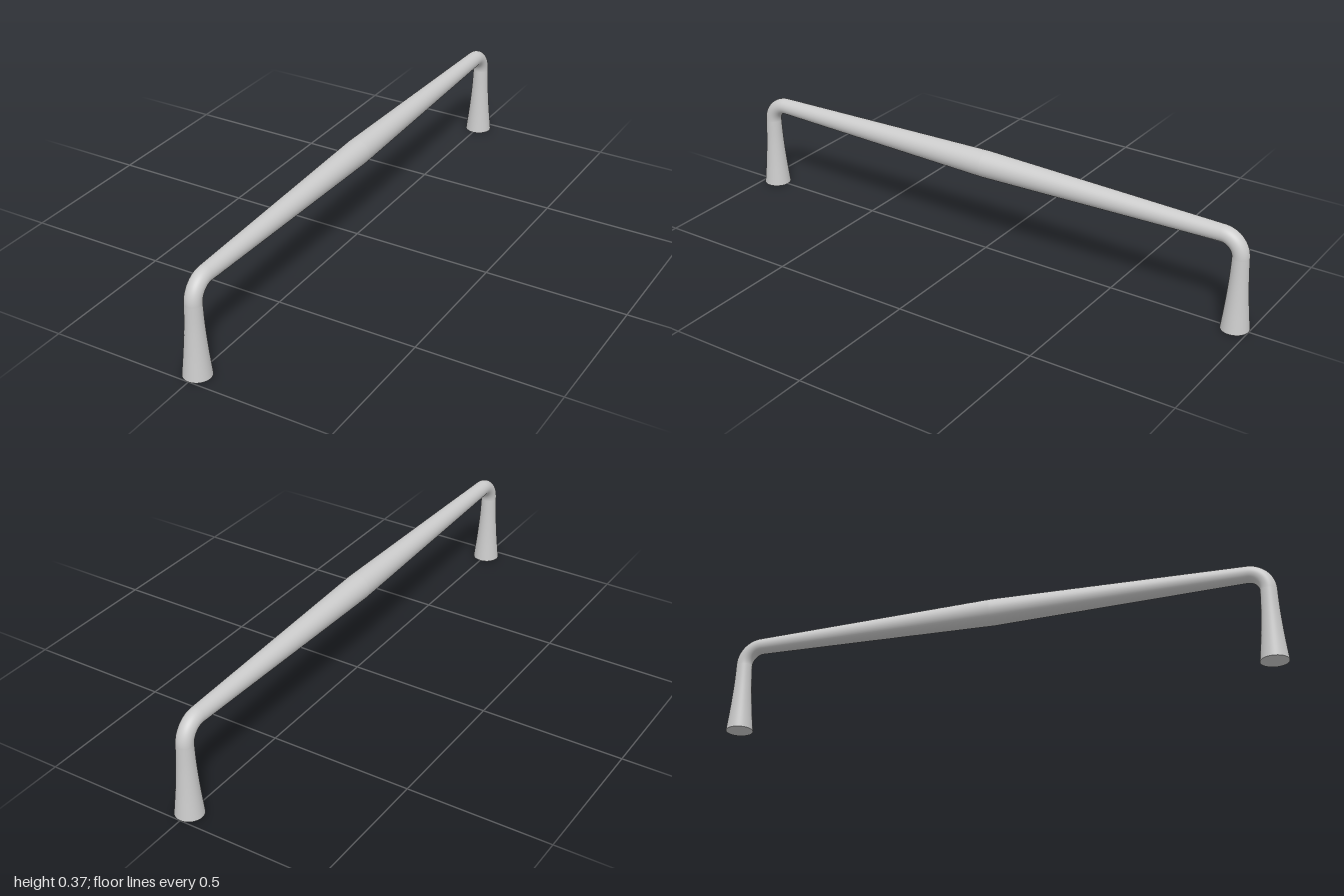
import * as THREE from 'three';

const SEGMENTS = 40;
const LEG_Z = 0.952;    // leg axis
const BAR_Y = 0.3225;   // bar axis
const BEND = 0.068;     // elbow centreline radius
const THIN = 0.0285;    // radius at the elbows
const THICK = 0.047;    // radius at the bar's middle
const FOOT = 0.048;     // radius at the feet

export function createModel() {
  const model = new THREE.Group();
  model.name = 'pullHandle';
  const material = new THREE.MeshStandardMaterial({ color: 0xcccccc });

  const legTop = BAR_Y - BEND;
  const barEnd = LEG_Z - BEND;

  // Flared leg, slightly concave towards the foot
  const flare = new THREE.SplineCurve([
    [FOOT, 0], [0.0385, 0.09], [0.0315, 0.18], [THIN, legTop],
  ].map(([r, y]) => new THREE.Vector2(r, y)));
  const leg = new THREE.LatheGeometry(flare.getPoints(16), SEGMENTS)
    .translate(0, 0, LEG_Z);

  // Flat underside of the foot
  const base = new THREE.CircleGeometry(FOOT, SEGMENTS)
    .rotateX(Math.PI / 2)
    .translate(0, 0, LEG_Z);

  // Quarter bend joining leg and bar
  const elbow = new THREE.TorusGeometry(BEND, THIN, SEGMENTS, 20, Math.PI / 2)
    .rotateY(-Math.PI / 2)
    .translate(0, legTop, barEnd);

  // Half of the bar, tapering outward from the middle
  const bar = new THREE.CylinderGeometry(THIN, THICK, barEnd, SEGMENTS, 1, true)
    .rotateX(Math.PI / 2)
    .translate(0, BAR_Y, barEnd / 2);

  // The two ends are identical, turned half a circle
  for (const side of ['front', 'back']) {
    const half = new THREE.Group();
    half.name = side + 'Half';
    for (const [name, geometry] of Object.entries({ leg, base, elbow, bar })) {
      const mesh = new THREE.Mesh(geometry, material);
      mesh.name = name;
      half.add(mesh);
    }
    half.rotation.y = side === 'front' ? 0 : Math.PI;
    model.add(half);
  }
  return model;
}
